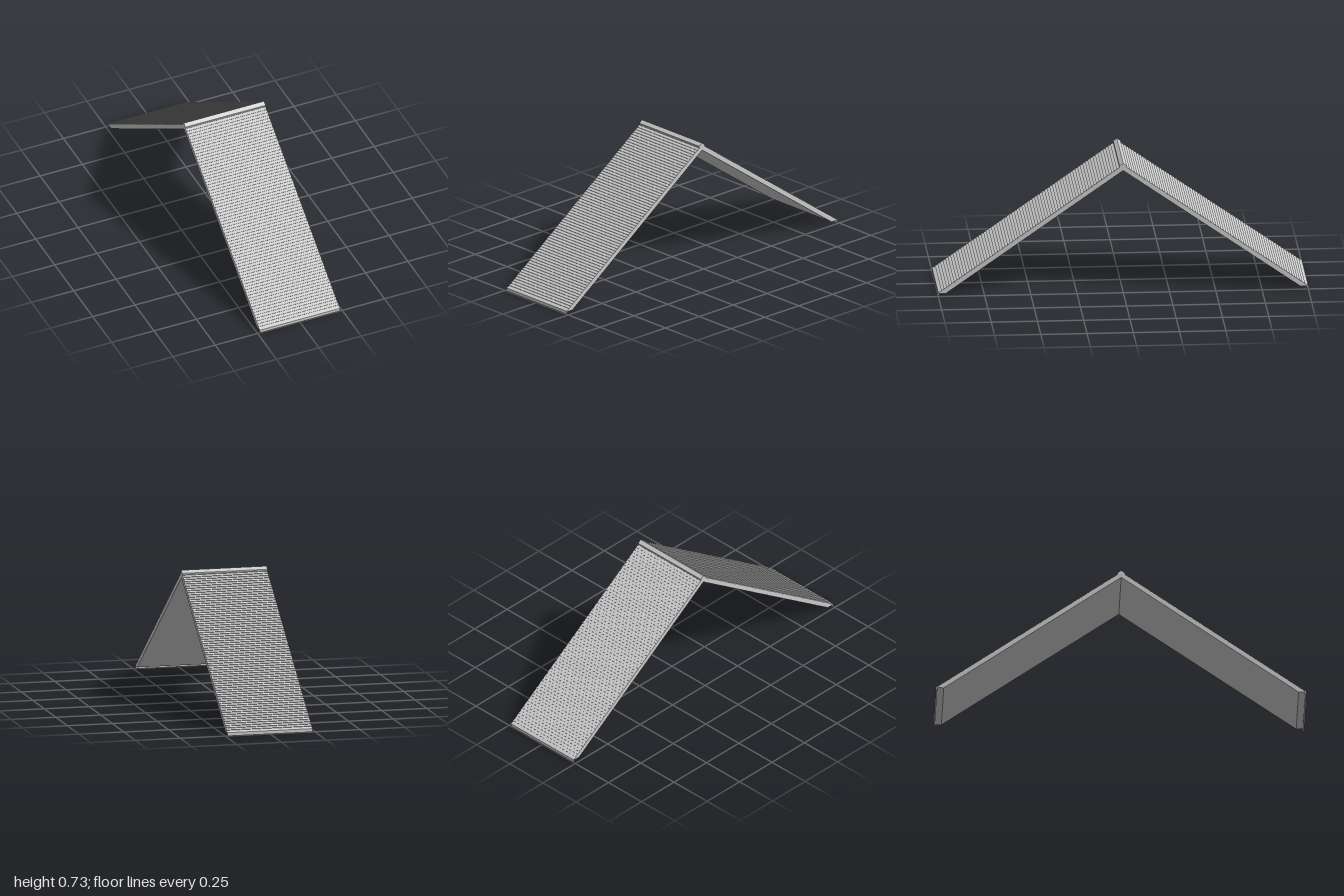
import * as THREE from 'three';

const WIDTH = 0.474;
const SLOPE = 0.70;
const COURSES = 70;
const DEPTH = 0.0035;

// Extrudes a [z, y] outline across the full width in x.
function extrudeAcross(outline, name, material) {
  const shape = new THREE.Shape(outline.map(([z, y]) => new THREE.Vector2(z, y)));
  const geometry = new THREE.ExtrudeGeometry(shape, { depth: WIDTH, bevelEnabled: false });
  geometry.rotateY(-Math.PI / 2);
  geometry.translate(WIDTH / 2, 0, 0);
  const mesh = new THREE.Mesh(geometry, material);
  mesh.name = name;
  return mesh;
}

// Section of one roof side: drip lip, overlapping courses, plain underside.
function slopeOutline() {
  const outer = z => 0.018 + SLOPE * (1 - z);
  const length = Math.hypot(1, SLOPE);
  const inZ = -DEPTH * SLOPE / length;
  const inY = -DEPTH / length;
  const zLow = 0.983, zHigh = 0.022;
  const points = [[0, 0.684], [0.957, 0.014], [0.992, 0.014], [0.992, 0], [1, 0], [1, outer(1)]];
  for (let i = 0; i <= COURSES; i++) {
    const z = zLow + (zHigh - zLow) * i / COURSES;
    points.push([z + inZ, outer(z) + inY], [z, outer(z)]);
  }
  points.push([0, outer(0)]);
  return points;
}

export function createModel() {
  const group = new THREE.Group();
  group.name = 'gableRoof';
  const material = new THREE.MeshStandardMaterial({ color: 0xcccccc, flatShading: true });

  // Two mirrored roof sides
  const outline = slopeOutline();
  const front = extrudeAcross(outline, 'frontSlope', material);
  const back = extrudeAcross(outline, 'backSlope', material);
  back.rotation.y = Math.PI;

  // Ridge cap
  const cap = extrudeAcross(
    [[0, 0.69], [0.02, 0.699], [0.02, 0.711], [0, 0.725], [-0.02, 0.711], [-0.02, 0.699]],
    'ridgeCap', material);

  group.add(front, back, cap);
  return group;
}
